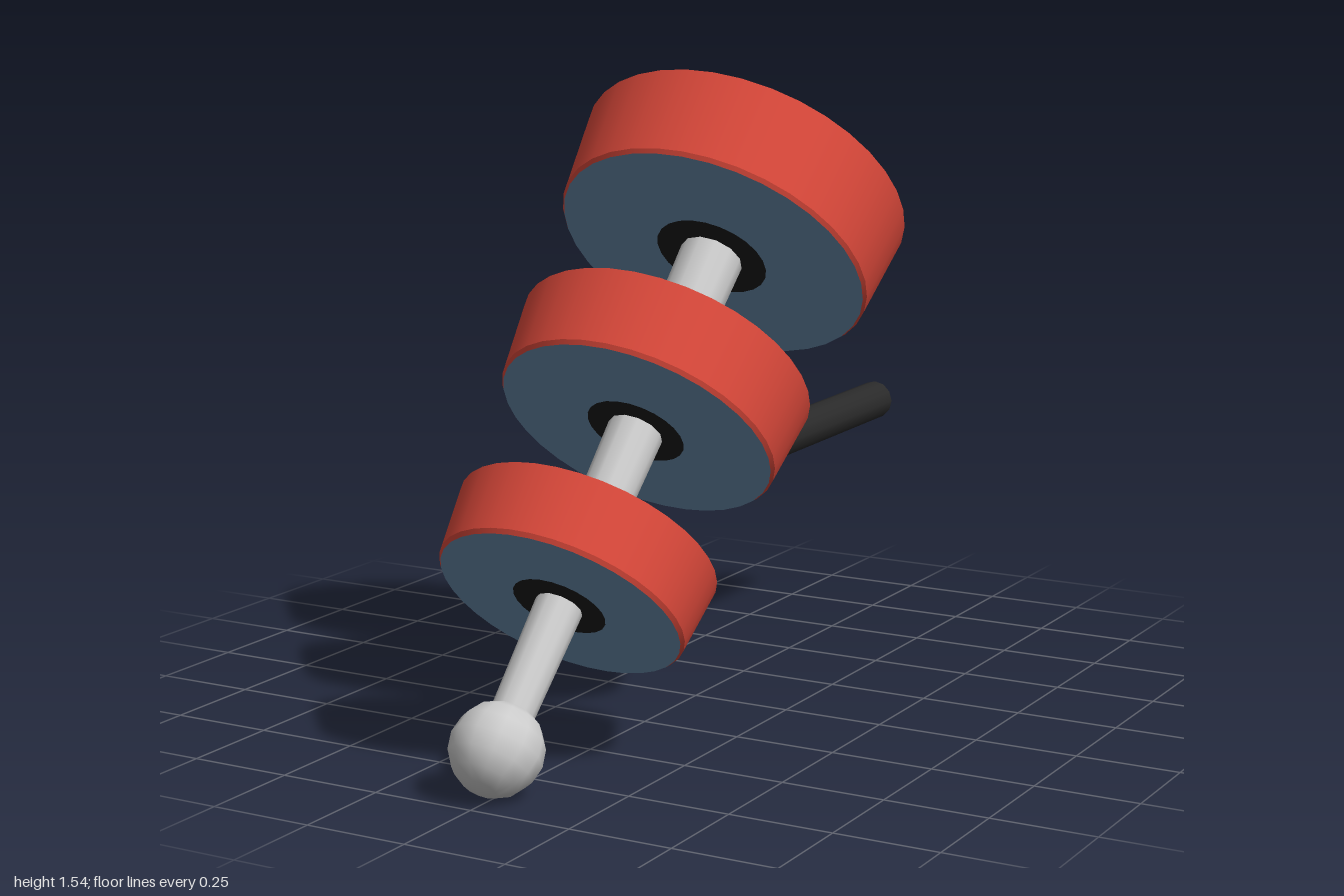
import * as THREE from 'three';

const mat = (color) => new THREE.MeshStandardMaterial({ color });

export function createModel() {
  const model = new THREE.Group();
  model.name = 'tieredDiscs';
  const red = mat(0xd9483a), blue = mat(0x6b8fb0), black = mat(0x2a2a2a), hub = mat(0x1a1a1a), grey = mat(0xcccccc);

  const add = (parent, name, geometry, material, y = 0) => {
    const mesh = new THREE.Mesh(geometry, material);
    mesh.name = name;
    mesh.position.y = y;
    parent.add(mesh);
    return mesh;
  };

  // Everything but the handle sits on an axis leaning back 45 degrees from the ball
  const stack = new THREE.Group();
  stack.name = 'leaningStack';
  stack.position.set(0, 0.11, 0.893);
  stack.rotation.x = -Math.PI / 4;
  model.add(stack);

  add(stack, 'ballFoot', new THREE.SphereGeometry(0.108, 12, 8), grey);

  // Tapered rod through all discs
  add(stack, 'rod', new THREE.CylinderGeometry(0.08, 0.048, 1.45, 12), grey, 0.725);

  // Discs: height along the axis, thickness, lower and upper radius, hub radius
  const discs = [
    ['lowerDisc', 0.374, 0.174, 0.297, 0.314, 0.112],
    ['middleDisc', 0.858, 0.198, 0.34, 0.361, 0.12],
    ['upperDisc', 1.376, 0.233, 0.391, 0.413, 0.14],
  ];
  for (const [name, y, h, r0, r1, rHub] of discs) {
    const disc = new THREE.Group();
    disc.name = name;
    disc.position.y = y;
    stack.add(disc);
    const lip = 0.01;
    add(disc, 'lip', new THREE.CylinderGeometry(r0, r0 - 0.007, lip, 36, 1, true), red, lip / 2);
    add(disc, 'rim', new THREE.CylinderGeometry(r1, r0, h - lip, 36, 1, true), red, (h + lip) / 2);
    // Faces lie flat, the lower ones turned downwards
    add(disc, 'topFace', new THREE.CircleGeometry(r1, 36).rotateX(-Math.PI / 2).rotateY(Math.PI / 2), blue, h);
    add(disc, 'bottomFace', new THREE.CircleGeometry(r0 - 0.007, 36).rotateX(Math.PI / 2).rotateY(Math.PI / 2), blue);
    add(disc, 'hub', new THREE.CircleGeometry(rHub, 24).rotateX(Math.PI / 2), hub, -0.003);
  }

  // Handle running backwards from the rim of the middle disc
  const length = 1.04;
  const handle = add(model, 'handle', new THREE.CylinderGeometry(0.05, 0.05, length, 12), black);
  handle.position.set(0, 0.573, -1 + length / 2);
  handle.rotation.x = -Math.PI / 2 + 0.013;

  return model;
}
